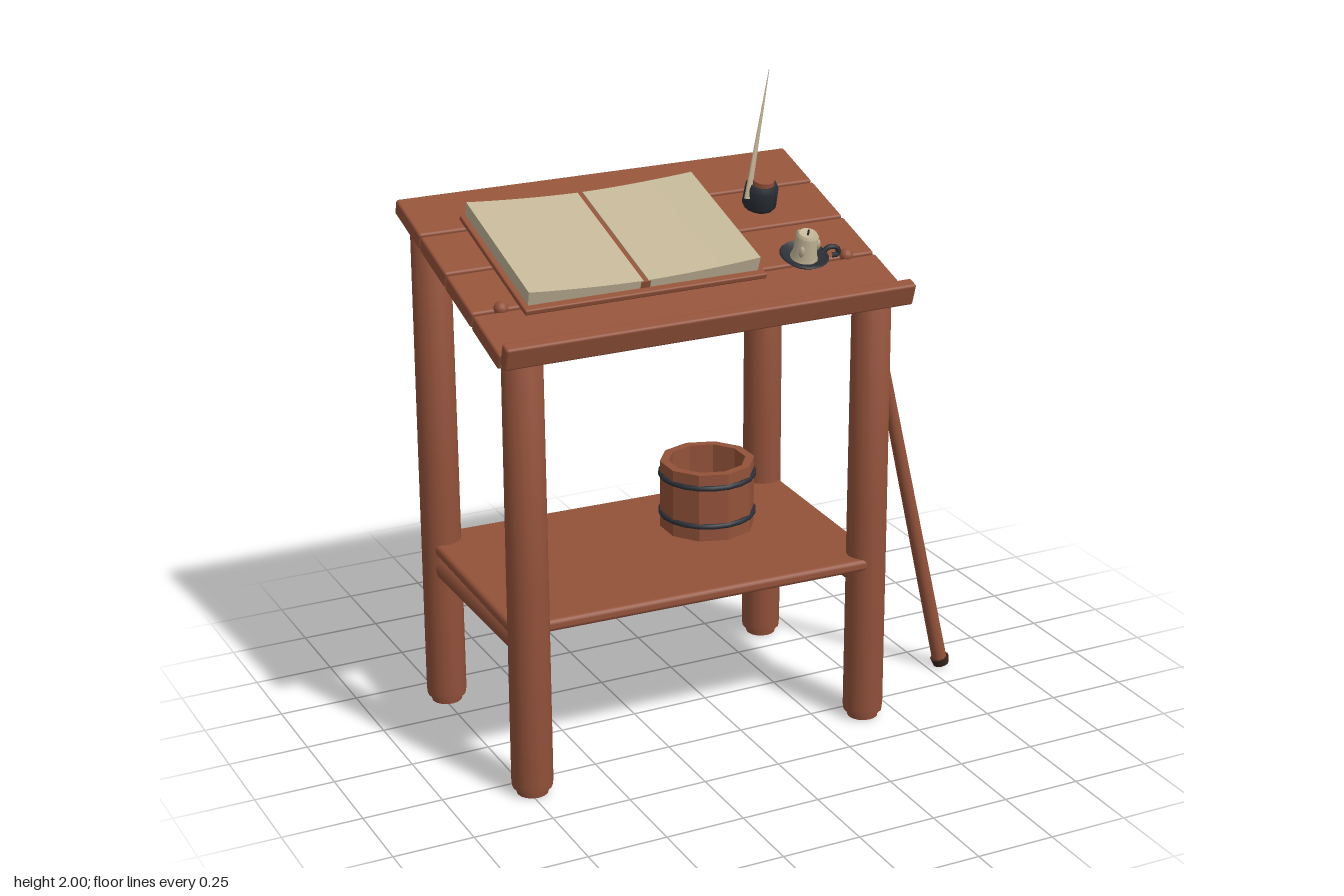
import * as THREE from 'three';
import { RoundedBoxGeometry } from 'three/addons/geometries/RoundedBoxGeometry.js';
import { toCreasedNormals } from 'three/addons/utils/BufferGeometryUtils.js';

const material = (name, color) => {
  const m = new THREE.MeshStandardMaterial({ color });
  m.name = name;
  return m;
};

export function createModel() {
  const wood = material('reddish wood', 0x93523a);
  const paper = material('aged paper', 0xc2b597);
  const iron = material('dark iron', 0x2b2f36);
  const darkWood = material('dark wood', 0x3a241c);

  const model = new THREE.Group();
  model.name = 'writingDesk';

  const add = (parent, name, geometry, mat, x = 0, y = 0, z = 0) => {
    const mesh = new THREE.Mesh(geometry, mat);
    mesh.name = name;
    mesh.position.set(x, y, z);
    parent.add(mesh);
    return mesh;
  };
  const plank = (w, h, d, r = 0.008) => new RoundedBoxGeometry(w, h, d, 2, r);
  const lathe = (points, sides = 16) =>
    toCreasedNormals(new THREE.LatheGeometry(points.map(p => new THREE.Vector2(...p)), sides), 0.6);
  // Tapered rod between two points
  const rod = (parent, name, a, b, rA, rB, mat, sides = 12) => {
    const from = new THREE.Vector3(...a), to = new THREE.Vector3(...b);
    const dir = to.clone().sub(from);
    const mesh = add(parent, name, new THREE.CylinderGeometry(rB, rA, dir.length(), sides), mat);
    mesh.position.copy(from).add(to).multiplyScalar(0.5);
    mesh.quaternion.setFromUnitVectors(new THREE.Vector3(0, 1, 0), dir.normalize());
    return mesh;
  };

  // Log legs with a narrower foot, and a side stretcher for each pair
  for (const [side, x] of [['right', -0.738], ['left', 0.397]]) {
    for (const [end, z, top] of [['Front', 0.32, 1.385], ['Back', -0.373, 1.605]]) {
      add(model, side + end + 'Leg', lathe([
        [0, 0], [0.048, 0], [0.051, 0.02], [0.061, 0.022], [0.063, 0.04],
        [0.062, top * 0.5], [0.06, top - 0.012], [0.054, top], [0, top],
      ]), wood, x, 0, z);
    }
    rod(model, side + 'Stretcher', [x, 0.473, 0.32], [x, 0.473, -0.373], 0.04, 0.04, wood);
  }

  // Lower shelf, set a little askew
  const shelf = add(model, 'shelf', plank(1.22, 0.038, 0.768, 0.014), wood, -0.175, 0.538, -0.025);
  shelf.rotation.y = -0.03;

  // Bucket with staves, floor and two hoops
  const bucket = new THREE.Group();
  bucket.name = 'bucket';
  bucket.position.set(0.06, 0.556, -0.105);
  model.add(bucket);
  const ring = (Ctor, r) => new Ctor(Array.from({ length: 10 }, (_, i) => {
    const a = (i + 0.5) * Math.PI / 5;
    return new THREE.Vector2(r * Math.cos(a), r * Math.sin(a));
  }));
  const wall = ring(THREE.Shape, 0.15);
  wall.holes.push(ring(THREE.Path, 0.122));
  const staves = add(bucket, 'staves', new THREE.ExtrudeGeometry(wall, { depth: 0.222, bevelEnabled: false }), wood);
  staves.rotation.x = -Math.PI / 2;
  add(bucket, 'bucketFloor', new THREE.CylinderGeometry(0.125, 0.125, 0.02, 10), wood, 0, 0.015, 0);
  for (const y of [0.05, 0.178]) {
    const hoop = add(bucket, 'hoop', new THREE.TorusGeometry(0.147, 0.009, 8, 20), iron, 0, y, 0);
    hoop.rotation.x = Math.PI / 2;
  }

  // Sloped top: everything on it is built in its tilted frame, surface at y = 0.025
  const top = new THREE.Group();
  top.name = 'slopedTop';
  top.position.set(0, 1.515, -0.025);
  top.rotation.x = 0.305;
  model.add(top);
  for (let i = 0; i < 4; i++) {
    add(top, 'topPlank', plank(1.315, 0.05, 0.2), wood, -0.172, 0, (i - 1.5) * 0.208);
  }
  add(top, 'frontLip', plank(1.315, 0.072, 0.04), wood, -0.172, 0.037, 0.439);
  for (const x of [-0.738, 0.39]) {
    add(top, 'peg', new THREE.SphereGeometry(0.022, 12, 8), wood, x, 0.025, 0.2);
  }

  // Open book: cover, spine and two sagging page blocks
  add(top, 'bookCover', plank(0.778, 0.018, 0.515, 0.005), wood, -0.296, 0.034, -0.004);
  add(top, 'bookSpine', new THREE.BoxGeometry(0.03, 0.026, 0.485), wood, -0.298, 0.052, -0.012);
  for (const s of [-1, 1]) {
    const page = new THREE.Shape();
    page.moveTo(s * 0.008, 0.041);
    page.lineTo(s * 0.37, 0.043);
    page.lineTo(s * 0.372, 0.088);
    page.quadraticCurveTo(s * 0.18, 0.07, s * 0.008, 0.068);
    const geometry = new THREE.ExtrudeGeometry(page, { depth: 0.485, bevelEnabled: false, curveSegments: 8 });
    add(top, s < 0 ? 'rightPages' : 'leftPages', toCreasedNormals(geometry, 0.5), paper, -0.298, 0, -0.256);
  }

  // Inkwell with wooden stopper
  add(top, 'inkwell', lathe([
    [0, 0], [0.048, 0], [0.054, 0.01], [0.052, 0.07], [0.044, 0.084], [0, 0.084],
  ]), iron, 0.25, 0.025, -0.118);
  add(top, 'stopper', new THREE.CylinderGeometry(0.036, 0.038, 0.016, 14), wood, 0.25, 0.115, -0.118);

  // Quill: a flattened blade leaning out of the inkwell
  const quill = rod(model, 'quill', [0.197, 1.61, -0.103], [0.28, 2.0, -0.125], 0.012, 0.001, paper, 8);
  quill.scale.z = 0.7;

  // Candle holder with dish, ring handle and wax stub
  const candle = new THREE.Group();
  candle.name = 'candleHolder';
  candle.position.set(0.25, 0.025, 0.187);
  top.add(candle);
  add(candle, 'dish', lathe([
    [0, 0], [0.055, 0], [0.076, 0.016], [0.072, 0.021], [0.052, 0.009], [0, 0.009],
  ], 20), iron);
  const handlePath = new THREE.CatmullRomCurve3([
    [0.06, 0.014, 0], [0.085, 0.032, 0], [0.11, 0.026, 0.004], [0.113, 0.008, 0.008], [0.09, 0.006, 0.008],
  ].map(p => new THREE.Vector3(...p)));
  add(candle, 'handle', new THREE.TubeGeometry(handlePath, 16, 0.008, 8), iron);
  add(candle, 'waxStub', lathe([
    [0, 0.006], [0.044, 0.006], [0.037, 0.025], [0.034, 0.085], [0.028, 0.094], [0.012, 0.088], [0, 0.088],
  ]), paper);
  for (const [a, y] of [[0.6, 0.06], [2.4, 0.045], [4.3, 0.07]]) {
    const drip = add(candle, 'waxDrip', new THREE.SphereGeometry(0.01, 8, 6), paper,
      0.033 * Math.cos(a), y, 0.033 * Math.sin(a));
    drip.scale.y = 2;
  }
  add(candle, 'wick', new THREE.CylinderGeometry(0.003, 0.003, 0.02, 6), iron, 0, 0.096, 0);

  // Walking stick leaning on the side of the top
  rod(model, 'walkingStick', [0.797, 0.02, 0.13], [0.48, 1.465, 0.103], 0.024, 0.018, wood);
  rod(model, 'stickFoot', [0.802, 0.006, 0.131], [0.796, 0.03, 0.13], 0.026, 0.031, darkWood);
  rod(model, 'stickCap', [0.482, 1.455, 0.103], [0.478, 1.475, 0.102], 0.021, 0.019, darkWood);

  return model;
}
